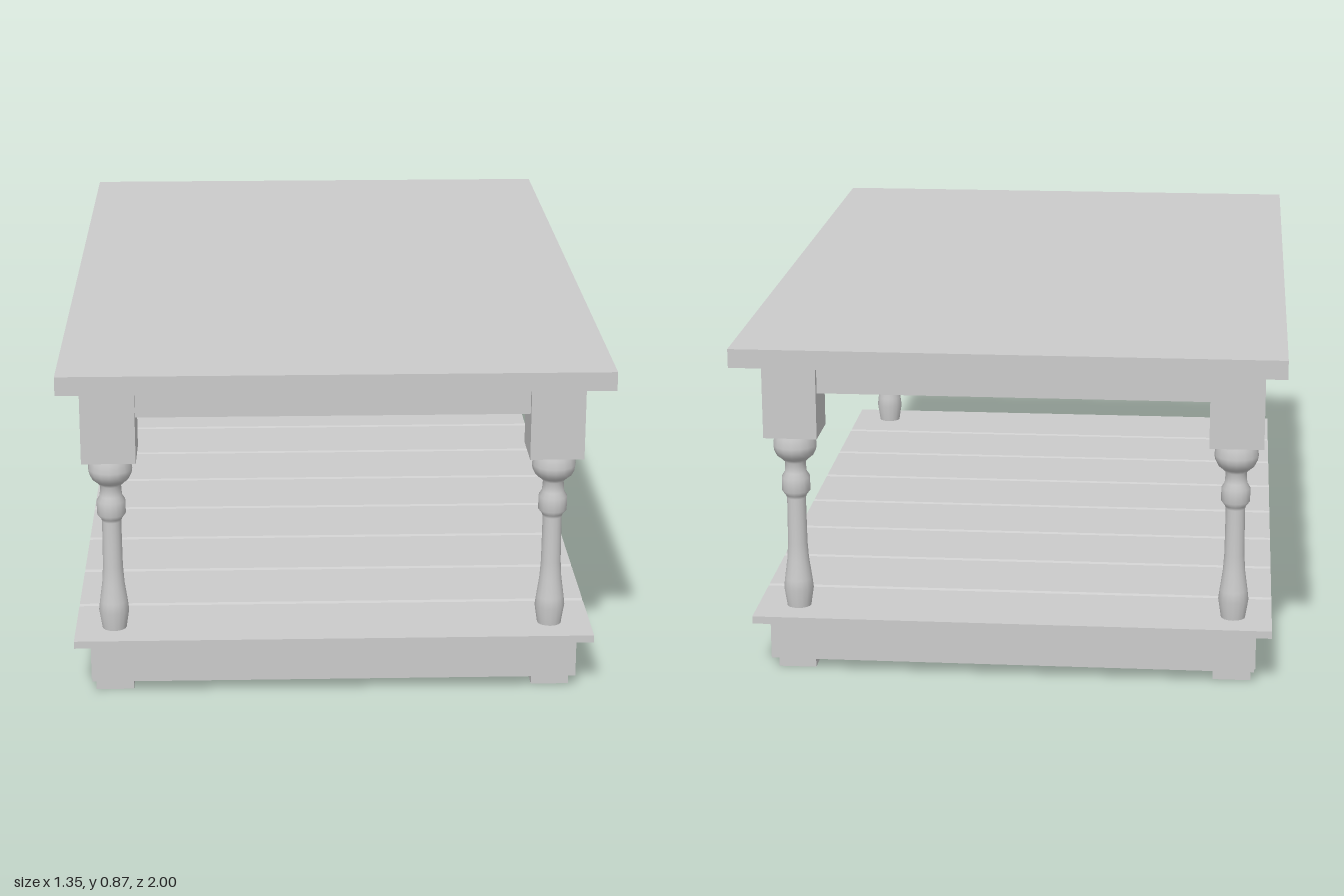
import * as THREE from 'three';

const material = new THREE.MeshStandardMaterial({ color: 0xcccccc, side: THREE.DoubleSide });

export function createModel() {
  const table = new THREE.Group();
  table.name = 'coffeeTable';

  const add = (parent, name, geometry, x = 0, y = 0, z = 0) => {
    const mesh = new THREE.Mesh(geometry, material);
    mesh.name = name;
    mesh.position.set(x, y, z);
    parent.add(mesh);
    return mesh;
  };
  // Box given by its limits on each axis
  const span = (name, [x0, x1], [y0, y1], [z0, z1]) =>
    add(table, name, new THREE.BoxGeometry(x1 - x0, y1 - y0, z1 - z0),
      (x0 + x1) / 2, (y0 + y1) / 2, (z0 + z1) / 2);

  // The understructure sits very slightly off centre
  const cx = -0.005, cz = 0.005, legX = 0.552, legZ = 0.837;

  span('tableTop', [-0.675, 0.675], [0.82, 0.867], [-1, 1]);

  // Turned leg profile, bottom to top (radius, height)
  const profile = [
    [0.03, 0.14], [0.031, 0.155], [0.038, 0.2], [0.035, 0.225], [0.028, 0.275], [0.025, 0.32],
    [0.024, 0.44], [0.027, 0.448], [0.036, 0.46], [0.036, 0.495], [0.028, 0.508],
    [0.026, 0.535], [0.036, 0.545], [0.046, 0.553], [0.053, 0.567], [0.055, 0.58],
    [0.052, 0.6], [0.048, 0.613],
  ].map(([r, y]) => new THREE.Vector2(r, y));
  const turning = new THREE.LatheGeometry(profile, 16);

  // Square foot post, hollowed from below
  const h = 0.0475, w = 0.036;
  const square = (s, Type) => new Type([[-s, -s], [s, -s], [s, s], [-s, s]]
    .map(([x, y]) => new THREE.Vector2(x, y)));
  const footShape = square(h, THREE.Shape);
  footShape.holes.push(square(w, THREE.Path));
  const foot = new THREE.ExtrudeGeometry(footShape, { depth: 0.138, bevelEnabled: false });
  foot.rotateX(-Math.PI / 2);

  for (const sx of [-1, 1]) {
    for (const sz of [-1, 1]) {
      const leg = new THREE.Group();
      leg.name = (sz > 0 ? 'front' : 'back') + (sx > 0 ? 'Left' : 'Right') + 'Leg';
      leg.position.set(cx + sx * legX, 0, cz + sz * legZ);
      add(leg, 'legBlock', new THREE.BoxGeometry(0.134, 0.207, 0.134), 0, 0.7165, 0);
      add(leg, 'legTurning', turning);
      add(leg, 'footPost', foot);
      table.add(leg);
    }
  }

  // Aprons between the leg blocks and boards of the lower frame
  for (const s of [-1, 1]) {
    const ax = cx + s * (legX + 0.035), az = cz + s * (legZ + 0.035);
    span('endApron', [cx - 0.486, cx + 0.486], [0.727, 0.82], [az - 0.015, az + 0.015]);
    span('sideApron', [ax - 0.015, ax + 0.015], [0.727, 0.82], [cz - 0.77, cz + 0.77]);
    const fz = cz + s * 0.895, fx = cx + s * 0.601;
    span('endFrameBoard', [-0.613, 0.61], [0.03, 0.132], [fz - 0.01, fz + 0.01]);
    span('sideFrameBoard', [fx - 0.01, fx + 0.01], [0.03, 0.132], [cz - 0.885, cz + 0.885]);
  }

  // Shelf planks with chamfered joints; the outer edges stay square
  const count = 8, pitch = 1.866 / count, y0 = 0.133, y1 = 0.152, c = 0.007;
  for (let i = 0; i < count; i++) {
    const a = -pitch / 2 + (i > 0 ? 0.001 : 0), b = pitch / 2 - (i < count - 1 ? 0.001 : 0);
    const ca = i > 0 ? c : 0, cb = i < count - 1 ? c : 0;
    const pts = [[a + ca, y0], [b - cb, y0]];
    if (cb) pts.push([b, y0 + c], [b, y1 - c]);
    pts.push([b - cb, y1], [a + ca, y1]);
    if (ca) pts.push([a, y1 - c], [a, y0 + c]);
    const section = new THREE.Shape(pts.map(([u, v]) => new THREE.Vector2(u, v)));
    const plank = new THREE.ExtrudeGeometry(section, { depth: 1.305, bevelEnabled: false });
    // Section runs along +z after the turn, length along x
    plank.translate(0, 0, -0.6525).rotateY(-Math.PI / 2);
    add(table, 'shelfPlank', plank, -0.002, 0, 0.003 + (i - (count - 1) / 2) * pitch);
  }

  return table;
}
